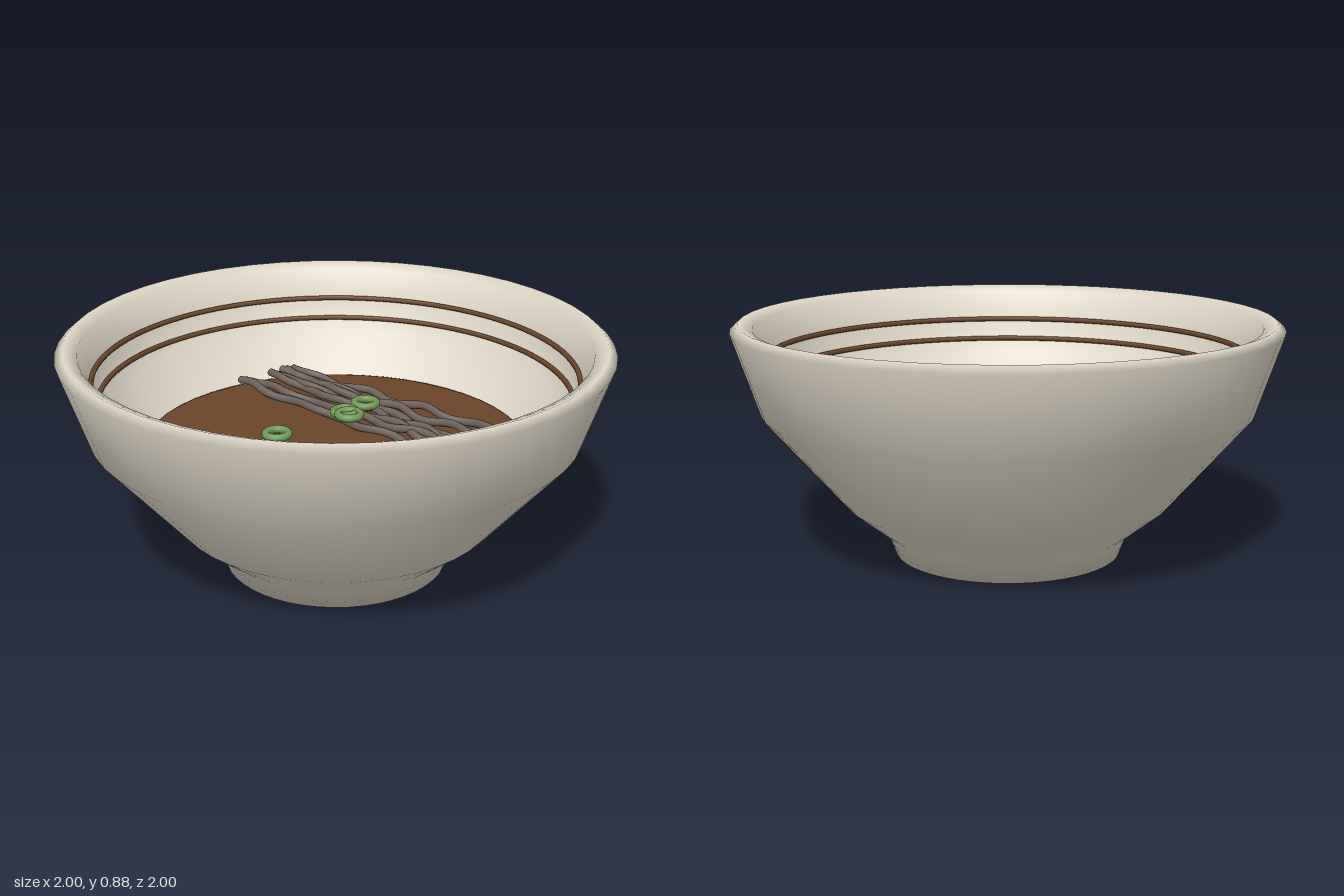
import * as THREE from 'three';

const material = (name, color) => {
  const m = new THREE.MeshStandardMaterial({ color });
  m.name = name;
  return m;
};

export function createModel() {
  const group = new THREE.Group();
  const ceramic = material('cream ceramic', 0xe2dacb);
  const brown = material('broth brown', 0x6b4529);
  const grey = material('noodle grey', 0x70645c);
  const green = material('onion green', 0x6f9a57);

  const add = (name, geometry, mat, x = 0, y = 0, z = 0) => {
    const mesh = new THREE.Mesh(geometry, mat);
    mesh.name = name;
    mesh.position.set(x, y, z);
    group.add(mesh);
    return mesh;
  };
  const lathe = (points) =>
    new THREE.LatheGeometry(points.map(([r, y]) => new THREE.Vector2(r, y)), 48);
  const ring = (radius, tube, sides, segments) =>
    new THREE.TorusGeometry(radius, tube, sides, segments).rotateX(Math.PI / 2);

  // Bowl: foot, outer wall, bevelled rim and inner wall in one smooth profile
  add('bowl', lathe([
    [0, 0], [0.42, 0], [0.45, 0.08], [0.6, 0.2], [0.9, 0.55], [1, 0.85], [0.97, 0.875],
    [0.92, 0.855], [0.885, 0.74], [0.85, 0.6], [0.7, 0.42], [0.5, 0.22], [0, 0.15],
  ]), ceramic);

  // Band set in the wall, showing outside as a row of dashes
  add('outerDashes', ring(0.929, 0.03, 16, 192), grey, 0, 0.739, 0);

  // Painted rings on the inner wall
  add('upperInnerRing', ring(0.878, 0.01, 8, 96), brown, 0, 0.74, 0);
  add('lowerInnerRing', ring(0.86, 0.01, 8, 96), brown, 0, 0.66, 0);

  // Broth with a softened edge
  add('broth', lathe([[0, 0.4], [0.7, 0.4], [0.72, 0.44], [0.715, 0.46], [0.69, 0.468], [0, 0.47]]), brown);

  // Noodles: wavy strands, each given by start x, z and end x, z
  const strands = [
    [-0.63, -0.37, 0.59, -0.47], [-0.64, -0.33, 0.61, -0.385],
    [-0.66, -0.28, 0.67, -0.27], [-0.66, -0.26, 0.65, -0.215],
    [-0.63, -0.34, 0.66, -0.25], [-0.68, -0.16, 0.67, -0.26],
    [-0.68, -0.12, 0.69, -0.145],
  ];
  strands.forEach(([x0, z0, x1, z1], i) => {
    const points = [];
    for (let k = 0; k <= 24; k++) {
      const t = k / 24;
      const ease = t * t * (3 - 2 * t);
      points.push(new THREE.Vector3(
        x0 + (x1 - x0) * t,
        0.488 + 0.008 * Math.sin(t * 25 + i * 2.1),
        z0 + (z1 - z0) * ease + 0.012 * Math.sin(t * 32 + i * 1.7),
      ));
    }
    const path = new THREE.CatmullRomCurve3(points);
    add('noodle', new THREE.TubeGeometry(path, 72, 0.016, 8), grey);
    // Rounded strand ends
    for (const p of [points[0], points[24]])
      add('noodleEnd', new THREE.SphereGeometry(0.016, 8, 6), grey, p.x, p.y, p.z);
  });

  // Spring onion rings
  for (const [x, y, z] of [
    [-0.08, 0.53, -0.235], [-0.07, 0.53, -0.115], [-0.03, 0.535, -0.1], [-0.09, 0.53, 0.21],
  ]) add('onionRing', ring(0.042, 0.015, 10, 24), green, x, y, z);

  return group;
}
